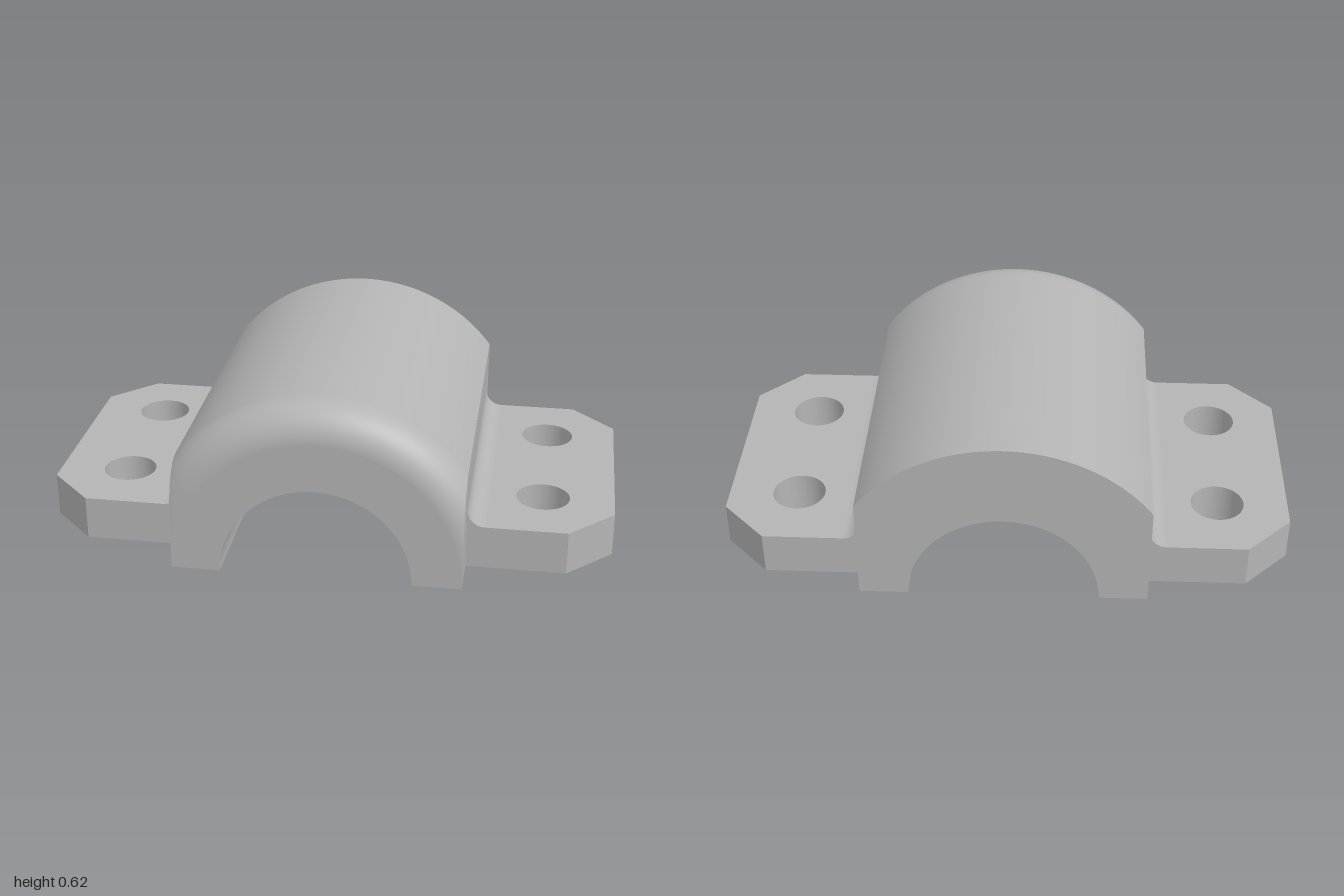
import * as THREE from 'three';
import { toCreasedNormals } from 'three/addons/utils/BufferGeometryUtils.js';

const HALF_W = 0.5, OUTER = 0.625, BORE = 0.33, BACK = -0.625, NOSE = 0.125;
const PLATE_H = 0.156, ROOT = 0.0625, STEPS = 16;

// Grid surface; its front is on the side of (u direction) x (v direction).
function surface(nu, nv, f) {
  const g = new THREE.PlaneGeometry(1, 1, nu, nv);
  const p = g.attributes.position, uv = g.attributes.uv;
  for (let i = 0; i < p.count; i++) p.setXYZ(i, ...f(uv.getX(i), uv.getY(i)));
  g.computeVertexNormals();
  return g;
}

// Outer radius and z along the body: one straight run, then the rounded front.
function profile(v) {
  const s = v * (STEPS + 1);
  if (s < 0.5) return { r: OUTER, z: BACK };
  const t = ((s - 1) / STEPS) * Math.PI / 2;
  return { r: OUTER - NOSE + NOSE * Math.cos(t), z: OUTER - NOSE + NOSE * Math.sin(t) };
}
const wallTop = r => Math.sqrt(Math.max(0, r * r - HALF_W * HALF_W));

// Curved top clipped by the two side walls
function crownGeometry() {
  const g = surface(64, STEPS + 1, (u, v) => {
    const { r, z } = profile(v);
    const a0 = Math.atan2(wallTop(r), HALF_W);
    const a = a0 + (Math.PI - 2 * a0) * u;
    return [r * Math.cos(a), r * Math.sin(a), z];
  });
  const p = g.attributes.position, n = g.attributes.normal;
  for (let i = 0; i < p.count; i++) {
    const x = p.getX(i), y = p.getY(i), r = Math.hypot(x, y);
    const s = Math.min(1, Math.max(0, (p.getZ(i) - OUTER + NOSE) / NOSE));
    const c = Math.sqrt(1 - s * s);
    n.setXYZ(i, c * x / r, c * y / r, s);
  }
  return g;
}

// Arched end face for a given outer radius
function endGeometry(r) {
  const a0 = Math.atan2(wallTop(r), HALF_W);
  const s = new THREE.Shape();
  s.moveTo(HALF_W, 0);
  s.lineTo(HALF_W, wallTop(r));
  s.absarc(0, 0, r, a0, Math.PI - a0, false);
  s.lineTo(-HALF_W, 0);
  s.lineTo(-BORE, 0);
  s.absarc(0, 0, BORE, Math.PI, 0, true);
  return new THREE.ShapeGeometry(s, 64);
}

// Chamfered mounting plate with two bolt holes
function plateGeometry() {
  const c = PLATE_H;
  const s = new THREE.Shape([
    [HALF_W, -0.5], [1 - c, -0.5], [1, c - 0.5], [1, 0.5 - c], [1 - c, 0.5], [HALF_W, 0.5],
  ].map(([x, y]) => new THREE.Vector2(x, y)));
  for (const y of [-0.25, 0.25]) {
    s.holes.push(new THREE.Path().absarc(0.75, y, 0.094, 0, Math.PI * 2, true));
  }
  const g = new THREE.ExtrudeGeometry(s, { depth: PLATE_H, bevelEnabled: false, curveSegments: 48 });
  return toCreasedNormals(g.rotateX(-Math.PI / 2), 0.5);
}

// Concave fillet where the plate meets the body
function filletGeometry() {
  const s = new THREE.Shape();
  s.moveTo(HALF_W, PLATE_H);
  s.lineTo(HALF_W + ROOT, PLATE_H);
  s.absarc(HALF_W + ROOT, PLATE_H + ROOT, ROOT, -Math.PI / 2, -Math.PI, true);
  const g = new THREE.ExtrudeGeometry(s, { depth: 1, bevelEnabled: false, curveSegments: 12 });
  return toCreasedNormals(g.translate(0, 0, -0.5), 0.5);
}

export function createModel() {
  const model = new THREE.Group();
  model.name = 'bearingCap';
  const metal = new THREE.MeshStandardMaterial({ color: 0xb4b4b4 });
  metal.name = 'grey metal';
  const add = (parent, name, geometry) => {
    const m = new THREE.Mesh(geometry, metal);
    m.name = name;
    parent.add(m);
    return m;
  };

  // Arched body
  const body = new THREE.Group();
  body.name = 'archedBody';
  model.add(body);
  add(body, 'crown', crownGeometry());
  add(body, 'frontFace', endGeometry(OUTER - NOSE)).position.z = OUTER;
  const back = add(body, 'backFace', endGeometry(OUTER));
  back.position.z = BACK;
  back.rotation.y = Math.PI;
  add(body, 'bore', surface(64, 1, (u, v) => {
    const a = Math.PI * (1 - u);
    return [BORE * Math.cos(a), BORE * Math.sin(a), BACK + (OUTER - BACK) * v];
  }));
  for (const side of [1, -1]) {
    const label = side > 0 ? 'left' : 'right';
    add(body, label + 'Wall', surface(STEPS + 1, 1, (u, v) => {
      const { r, z } = profile(side > 0 ? 1 - u : u);
      return [side * HALF_W, wallTop(r) * v, z];
    }));
    add(body, label + 'Foot', surface(1, 1, (u, v) => [
      side * (BORE + HALF_W) / 2 + (u - 0.5) * (HALF_W - BORE), 0, BACK + (OUTER - BACK) * v,
    ]));

    // Mounting flange, slightly behind the middle
    const flange = new THREE.Group();
    flange.name = label + 'Flange';
    flange.position.z = -0.031;
    flange.rotation.y = side > 0 ? 0 : Math.PI;
    model.add(flange);
    add(flange, 'plate', plateGeometry());
    add(flange, 'rootFillet', filletGeometry());
  }
  return model;
}
